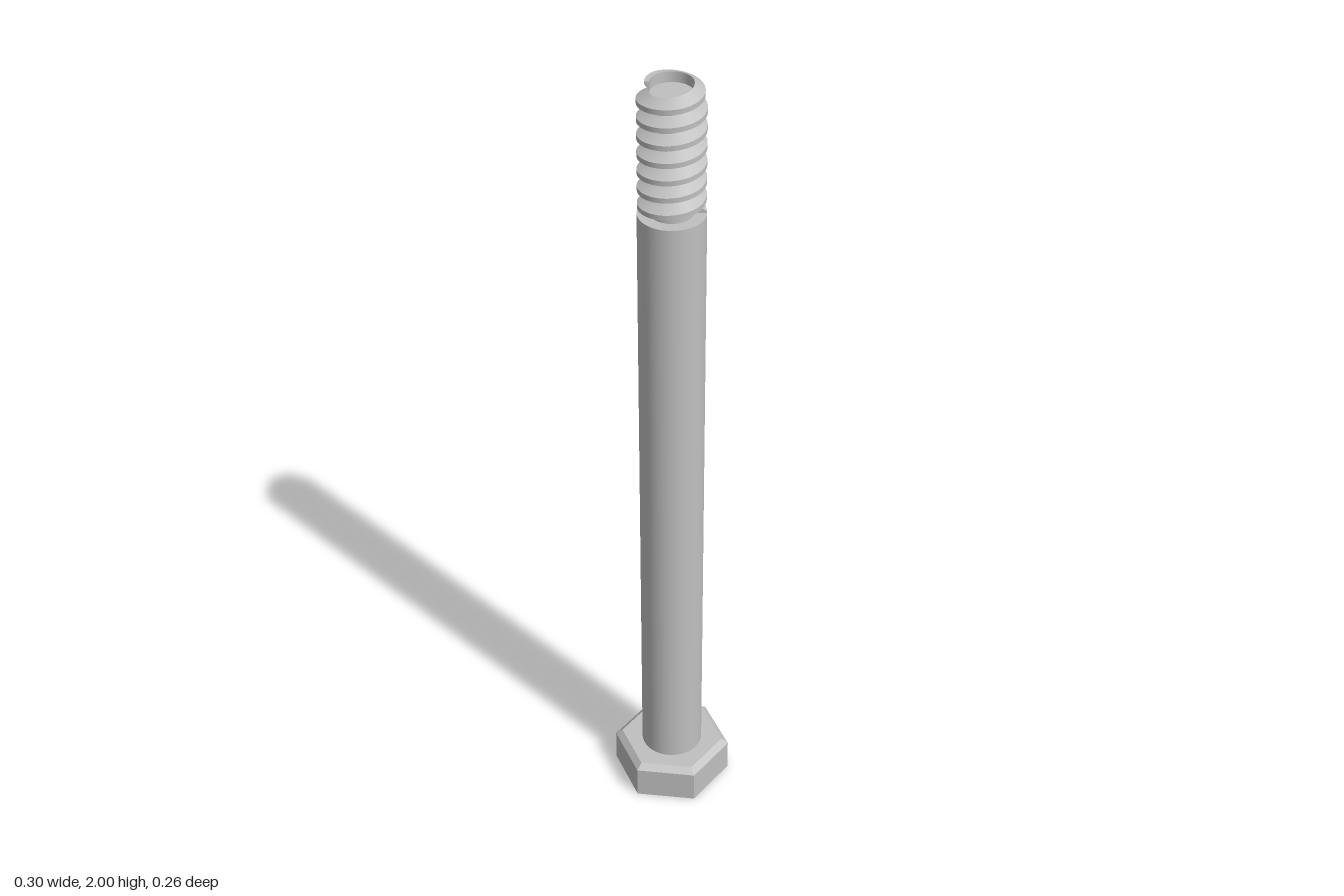
import * as THREE from 'three';

const steel = new THREE.MeshStandardMaterial({ color: 0xc0c0c0, side: THREE.DoubleSide });
steel.name = 'steel';
const facetedSteel = steel.clone();
facetedSteel.name = 'facetedSteel';
facetedSteel.flatShading = true;

const TOP = 2, ROOT = 0.048, CREST = 0.076, PITCH = 0.042;

function addPart(group, name, geometry, material = steel) {
  const mesh = new THREE.Mesh(geometry, material);
  mesh.name = name;
  group.add(mesh);
  return mesh;
}

// Helical ridge: a trapezoid swept upwards, narrowing at its end and cut flat at the tip
function threadGeometry(startY, endY, endAngle) {
  const perTurn = 48;
  const turns = (endY - startY) / PITCH;
  const steps = Math.ceil(turns * perTurn);
  const positions = [], indices = [];

  const section = (i) => {
    const left = turns * (1 - i / steps); // turns remaining to the end
    const angle = endAngle - left * Math.PI * 2;
    const y = endY - left * PITCH;
    const crest = 0.058 + (CREST - 0.058) * Math.min(1, left / 0.7);
    return [[ROOT, -0.02], [crest, -0.006], [crest, 0.006], [ROOT, 0.02]].map(([r, h]) =>
      [r * Math.cos(angle), Math.min(TOP, y + h), -r * Math.sin(angle)]);
  };

  // One strip per side of the section keeps the ridge edges sharp
  for (let side = 0; side < 4; side++) {
    const base = positions.length / 3;
    for (let i = 0; i <= steps; i++) {
      const s = section(i);
      positions.push(...s[side], ...s[(side + 1) % 4]);
      if (i < steps) {
        const a = base + i * 2;
        indices.push(a, a + 2, a + 3, a, a + 3, a + 1);
      }
    }
  }
  // End faces
  [0, steps].forEach((i) => {
    const b = positions.length / 3;
    section(i).forEach((p) => positions.push(...p));
    indices.push(...(i === 0 ? [b, b + 1, b + 2, b, b + 2, b + 3] : [b, b + 2, b + 1, b, b + 3, b + 2]));
  });

  const geometry = new THREE.BufferGeometry();
  geometry.setAttribute('position', new THREE.Float32BufferAttribute(positions, 3));
  geometry.setIndex(indices);
  geometry.computeVertexNormals();
  return geometry;
}

export function createModel() {
  const bolt = new THREE.Group();
  bolt.name = 'bolt';

  // Hexagonal head with a chamfered upper edge
  const profile = [[0, 0], [0.148, 0], [0.148, 0.085], [0.131, 0.1], [0, 0.1]]
    .map(([x, y]) => new THREE.Vector2(x, y));
  const head = new THREE.LatheGeometry(profile, 6).rotateY(Math.PI / 2);
  addPart(bolt, 'hexHead', head, facetedSteel);

  // Smooth shank
  const shank = addPart(bolt, 'shank', new THREE.CylinderGeometry(0.077, 0.077, 1.585, 64));
  shank.position.y = 0.1 + 1.585 / 2;

  // Threaded end: core and helical ridge
  const core = addPart(bolt, 'threadCore', new THREE.CylinderGeometry(ROOT, ROOT, 0.295, 48));
  core.position.y = 1.68 + 0.295 / 2;
  addPart(bolt, 'thread', threadGeometry(1.685, TOP, THREE.MathUtils.degToRad(126)));

  return bolt;
}
